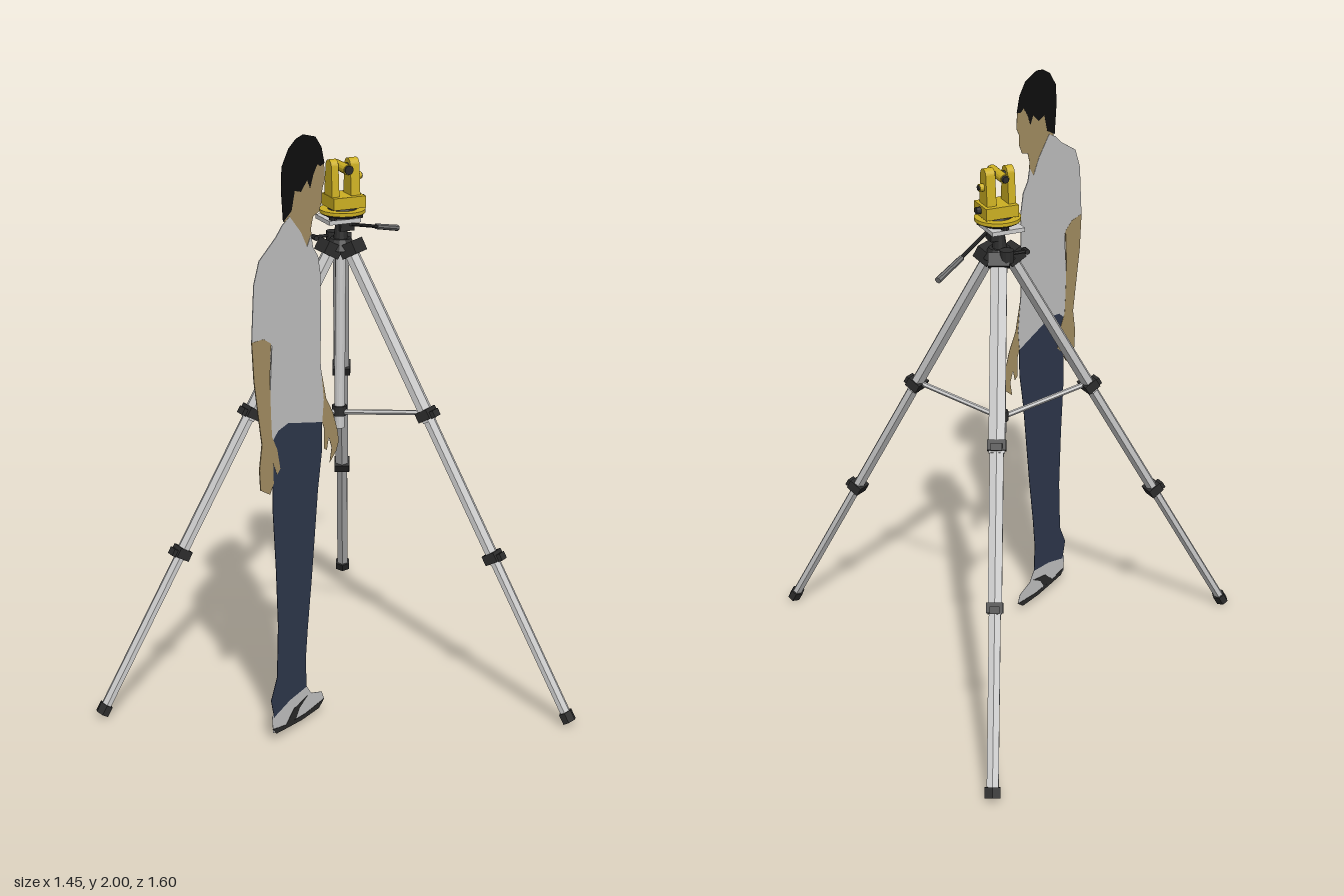
import * as THREE from 'three';

const mat = (color) => new THREE.MeshStandardMaterial({ color, flatShading: true });
const grey = mat(0xcccccc), black = mat(0x2c2c2c), yellow = mat(0xcdb022), darkGrey = mat(0x777777);
const skin = mat(0xad9668), denim = mat(0x303a50), hairMat = mat(0x101010);

function add(parent, name, geometry, material, x = 0, y = 0, z = 0) {
  const mesh = new THREE.Mesh(geometry, material);
  mesh.name = name;
  mesh.position.set(x, y, z);
  parent.add(mesh);
  return mesh;
}
const box = (w, h, d) => new THREE.BoxGeometry(w, h, d);
const cyl = (r0, r1, h, n = 20) => new THREE.CylinderGeometry(r0, r1, h, n);

// Round bar from point a to point b
function bar(parent, name, a, b, r0, r1, material, sides = 8) {
  const from = new THREE.Vector3(...a), to = new THREE.Vector3(...b);
  const dir = to.clone().sub(from);
  const mesh = add(parent, name, cyl(r1, r0, dir.length(), sides), material);
  mesh.position.copy(from).add(to).multiplyScalar(0.5);
  mesh.quaternion.setFromUnitVectors(new THREE.Vector3(0, 1, 0), dir.normalize());
  return mesh;
}

// Flat cut-out figure: paper-thin outlines lying in one slanted upright plane
function buildFigure() {
  const figure = new THREE.Group();
  figure.name = 'flatFigure';
  const piece = (name, material, layer, points) => {
    const shape = new THREE.Shape(points.map(([x, y]) => new THREE.Vector2(x, y)));
    const depth = 0.0015 * layer;
    const g = new THREE.ExtrudeGeometry(shape, { depth, bevelEnabled: false });
    g.translate(0, 0, -depth / 2);
    g.applyMatrix4(new THREE.Matrix4().set(1, 0, 0, 0, 0, 1, 0, 0, -0.66, 0, 1, 0.333, 0, 0, 0, 1));
    add(figure, name, g, material);
  };
  piece('face', skin, 1, [[-0.02, 1.9], [-0.015, 1.87], [-0.012, 1.83], [-0.025, 1.805], [-0.025, 1.77],
    [-0.04, 1.735], [-0.07, 1.725], [-0.08, 1.69], [-0.075, 1.64], [-0.1, 1.62], [-0.14, 1.67],
    [-0.21, 1.74], [-0.2, 1.9], [-0.1, 1.94]]);
  piece('hair', hairMat, 2, [[-0.222, 1.92], [-0.19, 1.97], [-0.155, 1.993], [-0.12, 2], [-0.06, 1.98],
    [-0.03, 1.94], [-0.015, 1.885], [-0.035, 1.88], [-0.05, 1.89], [-0.07, 1.86], [-0.085, 1.82],
    [-0.1, 1.85], [-0.13, 1.82], [-0.16, 1.83], [-0.175, 1.77], [-0.215, 1.745], [-0.225, 1.85]]);
  piece('farArm', skin, 1, [[-0.025, 1.2], [0, 1.1], [0.035, 1.04], [0.06, 0.97], [0.067, 0.93], [0.055, 0.9],
    [0.02, 0.87], [0.03, 0.92], [0.015, 0.96], [0.005, 0.92], [-0.01, 0.93], [-0.01, 1], [-0.03, 1.05]]);
  piece('jeans', denim, 2, [[-0.265, 1.06], [-0.21, 1.1], [-0.14, 1.1], [-0.02, 1.05], [-0.02, 0.93],
    [-0.04, 0.8], [-0.06, 0.6], [-0.07, 0.5], [-0.09, 0.33], [-0.1, 0.22], [-0.095, 0.12], [-0.18, 0.11],
    [-0.26, 0.085], [-0.275, 0.15], [-0.245, 0.22], [-0.24, 0.4], [-0.25, 0.6], [-0.265, 0.8], [-0.265, 0.95]]);
  piece('shirt', grey, 3, [[-0.22, 1.735], [-0.25, 1.705], [-0.33, 1.65], [-0.355, 1.58], [-0.365, 1.4],
    [-0.31, 1.395], [-0.27, 1.36], [-0.28, 1.18], [-0.272, 1.04], [-0.24, 1.07], [-0.19, 1.08], [-0.13, 1.06],
    [-0.02, 1.025], [-0.013, 1.1], [-0.03, 1.23], [-0.03, 1.4], [-0.033, 1.53], [-0.045, 1.59], [-0.07, 1.625],
    [-0.08, 1.67], [-0.1, 1.635], [-0.13, 1.69], [-0.185, 1.755]]);
  piece('nearArm', skin, 4, [[-0.365, 1.4], [-0.31, 1.395], [-0.275, 1.37], [-0.28, 1.25], [-0.275, 1.13],
    [-0.27, 1.06], [-0.245, 1.01], [-0.23, 0.94], [-0.245, 0.925], [-0.265, 0.97], [-0.262, 0.9],
    [-0.28, 0.87], [-0.325, 0.9], [-0.33, 0.97], [-0.318, 1.05], [-0.335, 1.15], [-0.355, 1.27]]);
  piece('shoe', grey, 1, [[-0.265, 0.03], [-0.27, 0.09], [-0.22, 0.13], [-0.1, 0.13], [-0.07, 0.085],
    [-0.015, 0.065], [-0.003, 0.035], [-0.03, 0.017], [-0.2, 0.017]]);
  piece('shoeSole', black, 3, [[-0.267, 0.045], [-0.2, 0.03], [-0.1, 0.025], [-0.003, 0.035], [-0.03, 0.012],
    [-0.12, 0.01], [-0.2, 0.017], [-0.25, 0.022]]);
  piece('shoeStripe', black, 3, [[-0.2, 0.03], [-0.16, 0.07], [-0.09, 0.085], [-0.13, 0.06], [-0.15, 0.028]]);
  return figure;
}

// One telescopic leg, leaning outward along local +x
function buildLeg(angle) {
  const leg = new THREE.Group();
  leg.name = 'tripodLeg';
  leg.rotation.y = -angle;
  const lean = new THREE.Group();
  lean.name = 'leaningTubes';
  lean.position.set(0.9, 0.012, 0);
  lean.rotation.z = 0.523;
  leg.add(lean);
  const hex = new THREE.CylinderGeometry(1, 1, 1, 6, 1, false, Math.PI / 6);
  const section = (name, s0, s1, rx, rz, material) =>
    add(lean, name, hex, material, 0, (s0 + s1) / 2, 0).scale.set(rx, s1 - s0, rz);
  section('lowerTube', 0.02, 0.62, 0.016, 0.022, grey);
  section('middleTube', 0.58, 1.14, 0.019, 0.026, grey);
  section('upperTube', 1.1, 1.74, 0.022, 0.031, grey);
  section('rubberFoot', -0.005, 0.03, 0.022, 0.029, black);
  for (const [s, w] of [[0.6, 0.054], [1.125, 0.062]]) {
    add(lean, 'legClamp', box(0.048, 0.034, w), black, 0, s, 0);
    add(lean, 'clampLever', box(0.016, 0.024, w * 0.6), black, 0.03, s - 0.008, 0);
  }
  // Folding brace from the column collar to the leg, and the top hinge
  bar(leg, 'brace', [0.02, 0.938, 0], [0.33, 0.99, 0], 0.009, 0.009, grey, 6);
  add(leg, 'hingeBlock', box(0.06, 0.045, 0.07), black, 0.045, 1.515, 0).rotation.z = 0.5;
  return leg;
}

function buildTripod() {
  const tripod = new THREE.Group();
  tripod.name = 'tripod';
  tripod.position.set(0.19, 0, 0.03);
  for (let i = 0; i < 3; i++) tripod.add(buildLeg(THREE.MathUtils.degToRad(56 + 120 * i)));
  add(tripod, 'centreColumn', cyl(0.018, 0.018, 0.66, 12), grey, 0, 1.21, 0);
  add(tripod, 'braceCollar', cyl(0.025, 0.025, 0.034, 12), black, 0, 0.942, 0);
  add(tripod, 'hub', cyl(0.035, 0.055, 0.035, 12), black, 0, 1.528, 0);
  // Pan head, handle and crank
  add(tripod, 'headNeck', cyl(0.018, 0.026, 0.06, 12), black, 0, 1.565, 0);
  add(tripod, 'tiltBlock', box(0.05, 0.03, 0.045), black, 0.012, 1.588, 0.005);
  bar(tripod, 'panHandle', [0.02, 1.597, 0.035], [0.17, 1.55, -0.065], 0.006, 0.006, black);
  bar(tripod, 'handleGrip', [0.16, 1.553, -0.06], [0.273, 1.519, -0.132], 0.01, 0.011, darkGrey);
  add(tripod, 'crankHousing', cyl(0.024, 0.024, 0.04, 12), black, 0, 1.535, -0.06);
  bar(tripod, 'crankArm', [0, 1.54, -0.06], [-0.07, 1.54, -0.06], 0.006, 0.006, black);
  bar(tripod, 'crankKnob', [-0.07, 1.54, -0.07], [-0.07, 1.54, -0.04], 0.009, 0.009, black);
  return tripod;
}

// Surveying instrument with a telescope between two uprights
function buildInstrument() {
  const top = new THREE.Group();
  top.name = 'surveyInstrument';
  top.position.set(0.19, 0, 0.042);
  add(top, 'mountPlate', box(0.115, 0.014, 0.11), grey, -0.01, 1.613, -0.012);
  add(top, 'lowerDisc', cyl(0.074, 0.05, 0.012, 24), black, 0, 1.628, 0);
  add(top, 'baseDisc', cyl(0.077, 0.077, 0.012, 24), yellow, 0, 1.643, 0);
  for (let i = 0; i < 3; i++) {
    const a = 0.5 + i * 2.094;
    add(top, 'levellingScrew', cyl(0.013, 0.013, 0.022, 10), black, 0.056 * Math.cos(a), 1.63, 0.056 * Math.sin(a));
  }
  add(top, 'pivot', cyl(0.04, 0.05, 0.012), black, 0, 1.654, 0);
  add(top, 'body', box(0.115, 0.04, 0.1), yellow, 0.004, 1.676, 0);
  // Uprights: tapering sides with rounded tops
  const side = new THREE.Shape();
  side.moveTo(-0.032, 1.69);
  side.lineTo(0.032, 1.69);
  side.lineTo(0.023, 1.795);
  side.absarc(0, 1.795, 0.023, 0, Math.PI, false);
  for (const [x, w] of [[-0.052, 0.026], [0.017, 0.033]]) {
    const g = new THREE.ExtrudeGeometry(side, { depth: w, bevelEnabled: false, curveSegments: 8 });
    g.rotateY(Math.PI / 2);
    add(top, 'upright', g, yellow, x, 0, 0);
  }
  bar(top, 'tiltAxle', [-0.03, 1.79, 0], [0.02, 1.79, 0], 0.012, 0.012, black, 12);
  bar(top, 'telescope', [-0.005, 1.79, -0.05], [-0.005, 1.79, 0.055], 0.016, 0.018, yellow, 14);
  bar(top, 'eyepiece', [-0.005, 1.79, -0.06], [-0.005, 1.79, -0.048], 0.011, 0.013, black, 14);
  bar(top, 'lens', [-0.005, 1.79, 0.054], [-0.005, 1.79, 0.062], 0.015, 0.015, black, 14);
  bar(top, 'sideKnob', [0.045, 1.755, 0], [0.065, 1.755, 0], 0.013, 0.013, yellow, 12);
  bar(top, 'sideKnobCap', [0.065, 1.755, 0], [0.069, 1.755, 0], 0.009, 0.009, black, 12);
  bar(top, 'lowerKnob', [0.058, 1.678, 0], [0.077, 1.678, 0], 0.012, 0.012, black, 12);
  return top;
}

export function createModel() {
  const model = new THREE.Group();
  model.name = 'surveyScene';
  model.add(buildFigure(), buildTripod(), buildInstrument());
  return model;
}
